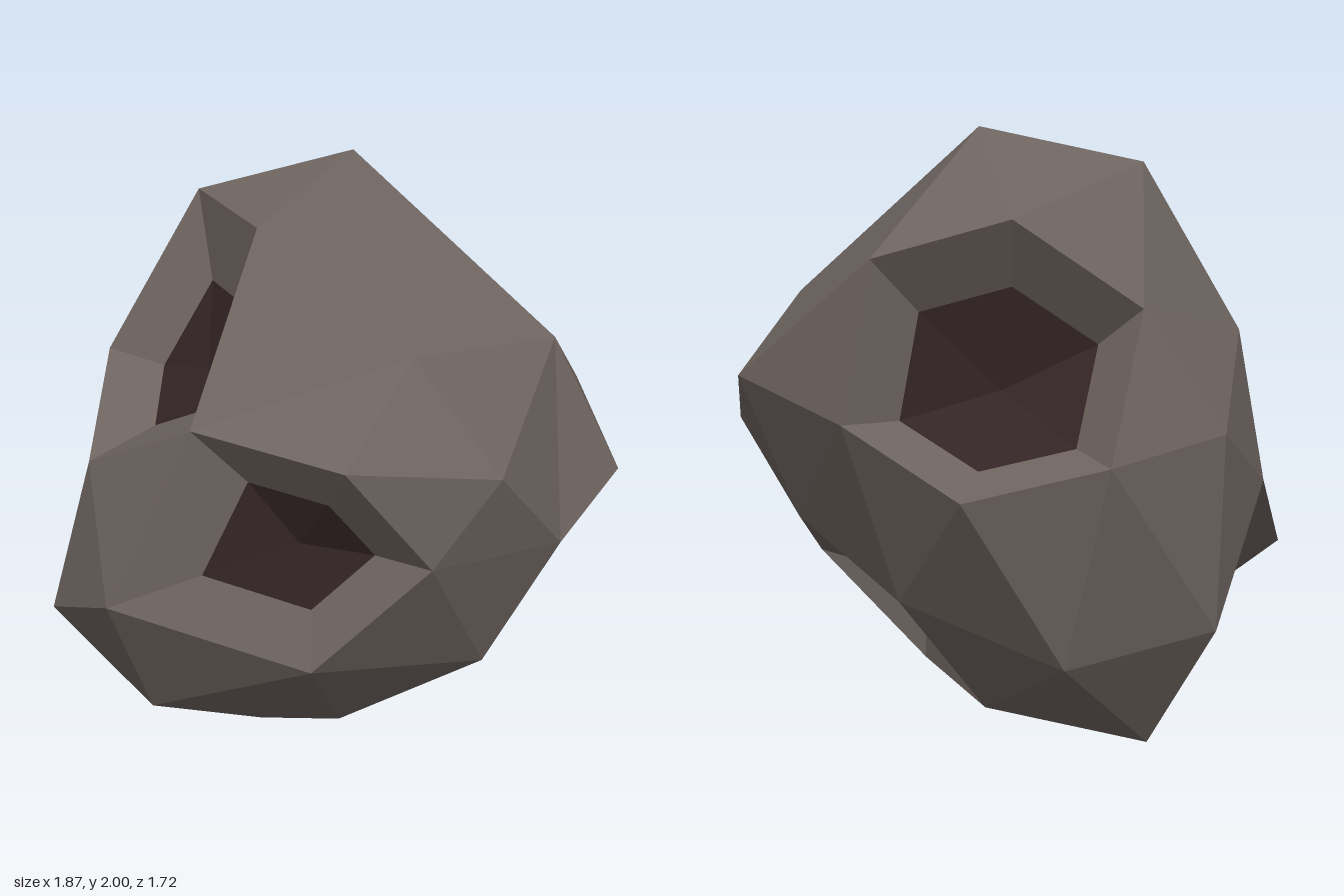
import * as THREE from 'three';
import { ConvexGeometry } from 'three/addons/geometries/ConvexGeometry.js';

const V = (p) => new THREE.Vector3(...p);
const CENTRE = V([0, 1, 0]);
const outward = (p) => p.clone().sub(CENTRE).normalize();

// Corners of the lumpy boulder
const corners = [
  // top and left flank
  [0, 2, -0.31], [0.7, 1.45, 0], [0.93, 1, 0], [0.27, 1.51, 0.5],
  [0.1, 1.26, 0.86], [0.55, 1.17, 0.61], [0.74, 0.86, 0.33], [0.79, 1.2, -0.39],
  // front and underside
  [0.35, 0.91, 0.72], [-0.02, 0.55, 0.73], [0.62, 0.55, -0.06], [0.5, 0.45, 0.38],
  [0.25, 0.18, -0.05], [0.03, 0.22, 0.41], [-0.67, 0.72, 0.69], [-0.39, 1.31, 0.67],
  // right flank
  [-0.78, 1.1, 0.4], [-0.81, 1.35, -0.05], [-0.5, 1.89, -0.13], [-0.23, 1.86, 0.33],
  [-0.94, 0.56, 0.36], [-0.59, 0.26, 0.46],
  // back
  [0.26, 1.6, -0.67], [-0.17, 1.72, -0.63], [-0.55, 1.45, -0.5], [-0.49, 1, -0.75],
  [-0.06, 0.9, -0.86], [0.34, 1.1, -0.73],
  // lower back
  [0.62, 0.72, -0.3], [0.21, 0.51, -0.55], [-0.03, 0.12, -0.37], [-0.29, 0.02, 0.07],
  [-0.55, 0, -0.26], [-0.34, 0.35, -0.66], [-0.8, 1.06, -0.42], [-0.9, 0.85, -0.03],
  [-0.78, 0.43, -0.4],
].map(V);

// Craters: rim corners, the point the walls slope towards, and how far they reach to it
const craters = [
  { name: 'frontCrater', rim: [4, 8, 9, 14, 15], sink: [-0.03, 0.955, 0.61], reach: 0.47 },
  { name: 'upperRightCrater', rim: [15, 16, 17, 18, 19], sink: [-0.36, 1.3, 0.17], reach: 0.47 },
  { name: 'lowerLeftCrater', rim: [10, 12, 28, 29, 30], sink: [0.24, 0.46, -0.07], reach: 0.45 },
  { name: 'backCrater', rim: [22, 23, 24, 25, 26, 27], sink: [-0.1, 1.09, -0.28], reach: 0.33 },
  { name: 'lowerRightCrater', rim: [35, 20, 21, 31, 32, 36], sink: [-0.46, 0.42, 0], reach: 0.33 },
];

function meshFrom(points, material, name) {
  const geometry = new THREE.BufferGeometry().setFromPoints(points);
  geometry.computeVertexNormals(); // unshared corners give flat facets
  const mesh = new THREE.Mesh(geometry, material);
  mesh.name = name;
  return mesh;
}

export function createModel() {
  const rock = new THREE.MeshStandardMaterial({ color: 0x6e645f });
  rock.name = 'rock';
  const darkRock = new THREE.MeshStandardMaterial({ color: 0x332425 });
  darkRock.name = 'darkRock';

  // Mouth of each crater: the middle of its rim
  for (const c of craters) {
    c.sink = V(c.sink);
    c.mouth = new THREE.Vector3();
    c.rim.forEach((i) => c.mouth.addScaledVector(corners[i], 1 / c.rim.length));
    c.walls = [];
    c.floor = [];
  }

  // Join the corners by wrapping their directions on a unit sphere
  const nodes = corners.concat(craters.map((c) => c.mouth));
  const directions = nodes.map(outward);
  const hull = new ConvexGeometry(directions).getAttribute('position');
  const nearest = (p) => {
    let best = 0;
    directions.forEach((d, i) => {
      if (d.distanceToSquared(p) < directions[best].distanceToSquared(p)) best = i;
    });
    return best;
  };

  const shell = [];
  const corner = new THREE.Vector3();
  for (let f = 0; f < hull.count; f += 3) {
    const face = [0, 1, 2].map((k) => nearest(corner.fromBufferAttribute(hull, f + k)));
    const k = face.findIndex((i) => i >= corners.length);
    if (k < 0) {
      shell.push(...face.map((i) => nodes[i]));
      continue;
    }
    // A crater slice: sloping wall, then a slice of the sunken floor
    const c = craters[face[k] - corners.length];
    const a = nodes[face[(k + 1) % 3]];
    const b = nodes[face[(k + 2) % 3]];
    const a2 = a.clone().lerp(c.sink, c.reach);
    const b2 = b.clone().lerp(c.sink, c.reach);
    const middle = c.mouth.clone().lerp(c.sink, c.reach + 0.2);
    c.walls.push(a, b, b2, a, b2, a2);
    c.floor.push(middle, a2, b2);
  }

  const model = new THREE.Group();
  model.name = 'asteroid';
  model.add(meshFrom(shell, rock, 'rockShell'));
  for (const c of craters) {
    const group = new THREE.Group();
    group.name = c.name;
    group.add(meshFrom(c.walls, rock, 'craterWalls'), meshFrom(c.floor, darkRock, 'craterFloor'));
    model.add(group);
  }
  return model;
}
